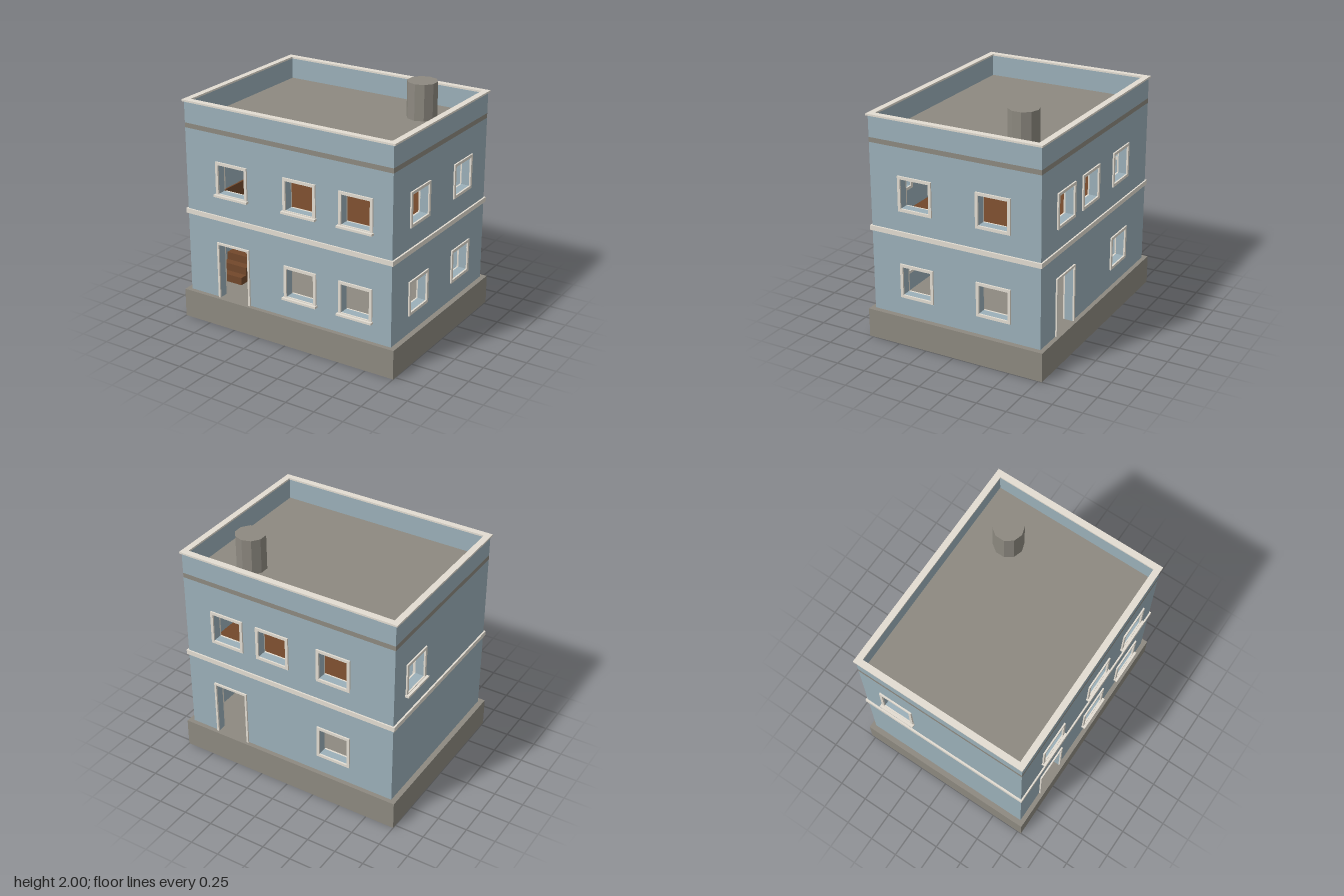
import * as THREE from 'three';

const mat = (name, color) => {
  const m = new THREE.MeshStandardMaterial({ color });
  m.name = name;
  return m;
};

export function createModel() {
  const blue = mat('blueWall', 0x9bb0b9);
  const stone = mat('greyConcrete', 0x8d8980);
  const cream = mat('creamTrim', 0xe3ddd2);
  const wood = mat('brownWood', 0x72482b);

  const house = new THREE.Group();
  house.name = 'house';

  // Box given by its minimum and maximum corners
  function box(parent, name, material, [x0, y0, z0], [x1, y1, z1]) {
    const mesh = new THREE.Mesh(new THREE.BoxGeometry(x1 - x0, y1 - y0, z1 - z0), material);
    mesh.position.set((x0 + x1) / 2, (y0 + y1) / 2, (z0 + z1) / 2);
    mesh.name = name;
    parent.add(mesh);
  }

  // Flat slab with one hole, both lying in x and z
  function slab(name, material, outer, hole, y0, y1) {
    const rect = ([x0, z0, x1, z1]) => [[x0, -z1], [x1, -z1], [x1, -z0], [x0, -z0]].map(p => new THREE.Vector2(...p));
    const shape = new THREE.Shape(rect(outer));
    shape.holes.push(new THREE.Path(rect(hole)));
    const geo = new THREE.ExtrudeGeometry(shape, { depth: y1 - y0, bevelEnabled: false });
    geo.rotateX(-Math.PI / 2).translate(0, y0, 0);
    const mesh = new THREE.Mesh(geo, material);
    mesh.name = name;
    house.add(mesh);
  }
  const ring = (name, material, x, z, t, y0, y1) =>
    slab(name, material, [-x, -z, x, z], [t - x, t - z, x - t, z - t], y0, y1);

  const X = 0.955, Z = 0.747, T = 0.07;         // wall outside and thickness
  const BASE = 0.245, CEIL = 1.66, ROOF = 1.7, FLOOR = 0.966;
  const P = 0.013;                              // trim projection

  // Trim around an opening, on the outer and inner wall faces
  function trim(parent, o) {
    for (const [z0, z1] of [[-0.002, P], [-T - P, -T + 0.002]]) {
      box(parent, 'frameHead', cream, [o.x0, o.y1 - o.f, z0], [o.x1, o.y1, z1]);
      const foot = o.door ? o.y0 : o.y0 + o.f;
      box(parent, 'frameJamb', cream, [o.x0, foot, z0], [o.x0 + o.f, o.y1 - o.f, z1]);
      box(parent, 'frameJamb', cream, [o.x1 - o.f, foot, z0], [o.x1, o.y1 - o.f, z1]);
      if (!o.door) box(parent, 'frameBottom', cream, [o.x0, o.y0, z0], [o.x1, o.y0 + o.f, z1]);
    }
    if (o.sill) box(parent, 'windowSill', cream, [o.x0 - 0.008, o.y0, 0], [o.x1 + 0.008, o.y0 + 0.018, 0.035]);
  }

  // Wall in local space: x along it, outer face at z = 0
  function wall(name, half, openings, position, angle) {
    const g = new THREE.Group();
    g.name = name;
    const pts = [[-half, BASE]];
    for (const { x0, x1, y1, f } of openings.filter(o => o.door))
      pts.push([x0 + f, BASE], [x0 + f, y1 - f], [x1 - f, y1 - f], [x1 - f, BASE]);
    pts.push([half, BASE], [half, CEIL], [-half, CEIL]);
    const shape = new THREE.Shape(pts.map(p => new THREE.Vector2(...p)));
    for (const { x0, x1, y0, y1, f } of openings.filter(o => !o.door))
      shape.holes.push(new THREE.Path([[x0 + f, y0 + f], [x0 + f, y1 - f], [x1 - f, y1 - f], [x1 - f, y0 + f]]
        .map(p => new THREE.Vector2(...p))));
    const geo = new THREE.ExtrudeGeometry(shape, { depth: T, bevelEnabled: false }).translate(0, 0, -T);
    const mesh = new THREE.Mesh(geo, blue);
    mesh.name = 'wallPanel';
    g.add(mesh);
    openings.forEach(o => trim(g, o));
    g.position.set(...position);
    g.rotation.y = angle;
    house.add(g);
  }
  const windowAt = (c, y0, y1, sill) => ({ x0: c - 0.15, x1: c + 0.15, y0, y1, f: 0.024, sill });
  const upper = (c, sill) => windowAt(c, 1.139, 1.431, sill);
  const lower = (c, sill) => windowAt(c, 0.402, 0.691, sill);
  const door = c => ({ x0: c - 0.158, x1: c + 0.158, y0: BASE, y1: 0.735, f: 0.018, door: true });

  wall('frontWall', X, [door(-0.513), lower(0.13, true), lower(0.638, true),
    upper(-0.51, true), upper(0.13, true), upper(0.638, true)], [0, 0, Z], 0);
  wall('backWall', X, [door(-0.552), lower(0.425), upper(-0.555), upper(-0.13), upper(0.425)],
    [0, 0, -Z], Math.PI);
  wall('leftWall', Z - T, [lower(-0.343), lower(0.343), upper(-0.343), upper(0.343)], [X, 0, 0], Math.PI / 2);
  wall('rightWall', Z - T, [upper(-0.424, true)], [-X, 0, 0], -Math.PI / 2);

  // Foundation, storey band, roof slab, parapet and coping
  box(house, 'foundation', stone, [-1, 0, -0.785], [1, BASE, 0.785]);
  ring('storeyBand', cream, 0.97, 0.76, 0.02, 0.929, 0.969);
  box(house, 'roofSlab', stone, [-X, CEIL, -Z], [X, ROOF, Z]);
  ring('parapet', blue, X, Z, 0.035, ROOF, 1.876);
  ring('coping', cream, 0.97, 0.759, 0.053, 1.876, 1.891);

  // Upper floor with a stairwell
  const sx0 = -X + T, sx1 = -0.645, zStart = 0.482, run = 0.0677, steps = 11;
  slab('upperFloor', wood, [T - X, T - Z, X - T, Z - T],
    [sx0 + 0.002, zStart - run * steps, sx1, zStart], 0.93, FLOOR);

  // Solid stair flight and the low guard beside it
  const rise = (FLOOR - BASE) / steps;
  for (let i = 0; i < steps; i++) {
    const z = zStart - run * i;
    box(house, 'stairStep', wood, [sx0, BASE, z - run], [sx1, BASE + rise * (i + 1), z]);
  }
  box(house, 'stairGuard', wood, [sx1, FLOOR, -0.18], [sx1 + 0.014, 1.172, Z - T]);

  // Roof water tank
  const tank = new THREE.Mesh(new THREE.CylinderGeometry(0.125, 0.125, 2 - ROOF, 10).toNonIndexed(), stone);
  tank.geometry.computeVertexNormals();
  tank.position.set(0.553, (2 + ROOF) / 2, -0.385);
  tank.name = 'waterTank';
  house.add(tank);

  return house;
}
